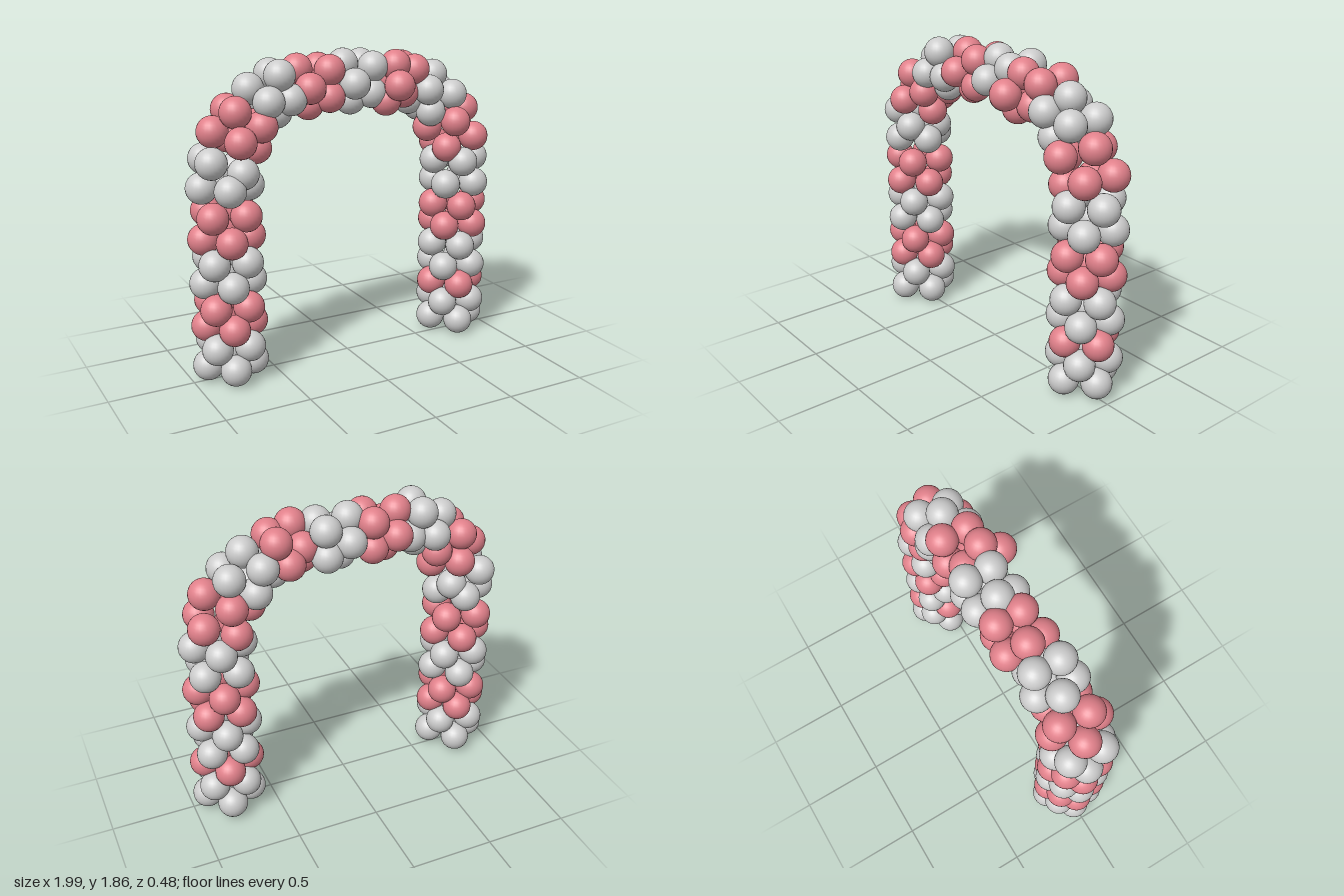
import * as THREE from 'three';

// Leg ring heights, from the floor up
const leftHeights = [0.1, 0.225, 0.345, 0.465, 0.6, 0.73, 0.86, 1.0, 1.155];
const rightHeights = [0.1, 0.22, 0.34, 0.46, 0.6, 0.73, 0.86, 1.0, 1.145];

// Rings over the top of the arch: x, y, z of the centre, lean in degrees
const archRings = [
  [-0.78, 1.27, 0.01, 22],
  [-0.71, 1.41, 0.01, 24],
  [-0.645, 1.525, 0, 31],
  [-0.53, 1.61, -0.01, 42],
  [-0.42, 1.68, -0.01, 65],
  [-0.27, 1.665, -0.035, 72],
  [-0.13, 1.68, -0.045, 90],
  [0.015, 1.675, -0.04, 77],
  [0.155, 1.685, -0.06, 92],
  [0.27, 1.66, 0.035, 105],
  [0.4, 1.665, -0.045, 117],
  [0.52, 1.61, -0.035, 138],
  [0.63, 1.52, -0.04, 145],
  [0.7, 1.41, -0.02, 157],
  [0.765, 1.27, -0.025, 161],
];

export function createModel() {
  const group = new THREE.Group();
  group.name = 'balloonArch';

  const grey = new THREE.MeshStandardMaterial({ color: 0xcccccc });
  const red = new THREE.MeshStandardMaterial({ color: 0xe0808a });
  const balloonGeometry = new THREE.SphereGeometry(0.09, 24, 16);

  // One continuous chain of rings: up the right leg, over the arch, down the left leg
  const rings = [
    ...leftHeights.map((y) => [-0.773, y, 0.01, 0]),
    ...archRings,
    ...rightHeights.map((y) => [0.773, y, -0.025, 180]).reverse(),
  ];
  const middle = (rings.length - 1) / 2;

  rings.forEach(([x, y, z, lean], i) => {
    const ring = new THREE.Group();
    ring.name = `balloonRing${i + 1}`;
    ring.position.set(x, y, z);

    // Colours change every two rings; the two lowest rings of each leg are grey
    const isRed = Math.floor(i / 2) % 2 === 1 && i !== rings.length - 2;

    // Rings tighten along the top, and the chain twists slightly from leg to leg
    const fromMiddle = Math.abs(i - middle);
    const radius = fromMiddle <= 4 ? 0.108 : fromMiddle <= 5 ? 0.122 : 0.133;
    const twist = THREE.MathUtils.clamp((middle - i) / 8, -1, 1) * 9;
    const a = THREE.MathUtils.degToRad(lean);

    // Four balloons per ring, every second ring turned by an eighth
    for (let k = 0; k < 4; k++) {
      const phi = THREE.MathUtils.degToRad(twist + k * 90 + (i % 2) * 45);
      const inward = radius * Math.cos(phi);
      const balloon = new THREE.Mesh(balloonGeometry, isRed ? red : grey);
      balloon.name = 'balloon';
      balloon.position.set(inward * Math.cos(a), -inward * Math.sin(a), radius * Math.sin(phi));
      ring.add(balloon);
    }
    group.add(ring);
  });

  // Stand the lowest balloons on the floor
  group.position.y = -0.01;
  return group;
}
